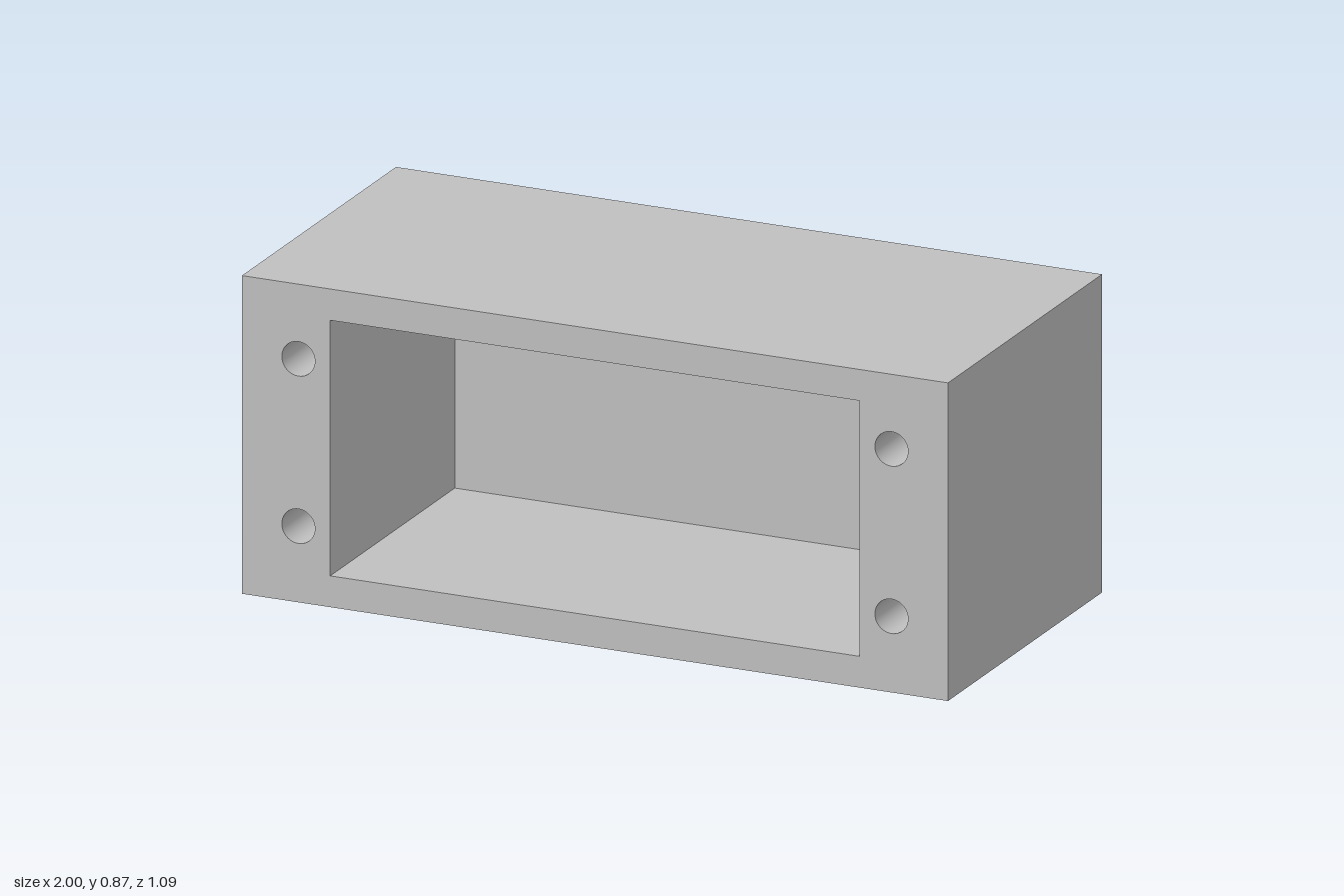
import * as THREE from 'three';

const W = 2, H = 0.865, FRONT = 0.545, BACK = -0.395;
const CAVITY = { w: 1.5, h: 0.695, y: 0.4325, back: -0.215 };
const HOLE_R = 0.047;
const SPOUT = { x: 0.4, y: 0.4345, r: 0.09, bore: 0.045, end: -0.545 };
const SEG = 48;

const grid = (dx, ys) => [-dx, dx].flatMap(x => ys.map(y => [x, y]));
const FRONT_HOLES = grid(0.84, [0.207, 0.662]);
const BACK_HOLES = grid(0.685, [0.25, 0.615]);

// Turns a geometry inside out so that it faces inward
function inward(geo) {
  geo.setIndex(Array.from(geo.index.array).reverse());
  const n = geo.attributes.normal;
  for (let i = 0; i < n.count; i++) n.setXYZ(i, -n.getX(i), -n.getY(i), -n.getZ(i));
  return geo;
}

// Box with only the chosen sides (0 +x, 1 -x, 2 +y, 3 -y, 4 +z, 5 -z)
function boxSides(w, h, y, z0, z1, sides) {
  const geo = new THREE.BoxGeometry(w, h, z1 - z0).translate(0, y, (z0 + z1) / 2);
  const index = Array.from(geo.index.array);
  geo.setIndex(sides.flatMap(s => index.slice(s * 6, s * 6 + 6)));
  geo.clearGroups();
  return geo;
}

// Open cylinder along z
function tube(r, x, y, z0, z1) {
  return new THREE.CylinderGeometry(r, r, z1 - z0, SEG, 1, true)
    .rotateX(Math.PI / 2).translate(x, y, (z0 + z1) / 2);
}

// Outer rectangle pierced by round holes
function panelShape(holes) {
  const s = new THREE.Shape([[-1, 0], [1, 0], [1, H], [-1, H]].map(p => new THREE.Vector2(...p)));
  for (const [x, y, r = HOLE_R] of holes)
    s.holes.push(new THREE.Path().absarc(x, y, r, 0, Math.PI * 2, true));
  return s;
}

export function createModel() {
  const model = new THREE.Group();
  model.name = 'housing';
  const grey = new THREE.MeshStandardMaterial({ color: 0xbfbfbf });
  grey.name = 'grey';
  const add = (name, geo, parent = model) => {
    const mesh = new THREE.Mesh(geo, grey);
    mesh.name = name;
    parent.add(mesh);
  };

  // Outer walls and recessed cavity
  add('outerWalls', boxSides(W, H, H / 2, BACK, FRONT, [0, 1, 2, 3]));
  add('cavity', inward(boxSides(CAVITY.w, CAVITY.h, CAVITY.y, CAVITY.back, FRONT, [0, 1, 2, 3, 5])));

  // Front rim around the cavity
  const rim = panelShape(FRONT_HOLES);
  const cx = CAVITY.w / 2, y0 = CAVITY.y - CAVITY.h / 2, y1 = CAVITY.y + CAVITY.h / 2;
  rim.holes.push(new THREE.Path([[-cx, y0], [-cx, y1], [cx, y1], [cx, y0]].map(p => new THREE.Vector2(...p))));
  add('frontRim', new THREE.ShapeGeometry(rim, SEG / 2).translate(0, 0, FRONT));

  // Back panel, mirrored as it is turned to face -z
  const back = panelShape([...BACK_HOLES, [-SPOUT.x, SPOUT.y, SPOUT.r]]);
  add('backPanel', new THREE.ShapeGeometry(back, SEG / 2).rotateY(Math.PI).translate(0, 0, BACK));

  // Blind screw holes
  const holes = new THREE.Group();
  holes.name = 'screwHoles';
  model.add(holes);
  for (const [x, y] of FRONT_HOLES) {
    add('frontHole', inward(tube(HOLE_R, x, y, FRONT - 0.3, FRONT)), holes);
    add('frontHoleFloor', new THREE.CircleGeometry(HOLE_R, SEG).translate(x, y, FRONT - 0.3), holes);
  }
  for (const [x, y] of BACK_HOLES) {
    add('backHole', inward(tube(HOLE_R, x, y, BACK, BACK + 0.13)), holes);
    add('backHoleFloor', new THREE.CircleGeometry(HOLE_R, SEG).rotateY(Math.PI).translate(x, y, BACK + 0.13), holes);
  }

  // Spout with a blind bore
  const spout = new THREE.Group();
  spout.name = 'spout';
  model.add(spout);
  const { x, y, r, bore, end } = SPOUT;
  add('spoutWall', tube(r, x, y, end, BACK), spout);
  add('spoutLip', new THREE.RingGeometry(bore, r, SEG).rotateY(Math.PI).translate(x, y, end), spout);
  add('spoutBore', inward(tube(bore, x, y, end, BACK)), spout);
  add('spoutBoreFloor', new THREE.CircleGeometry(bore, SEG).rotateY(Math.PI).translate(x, y, BACK), spout);

  return model;
}
